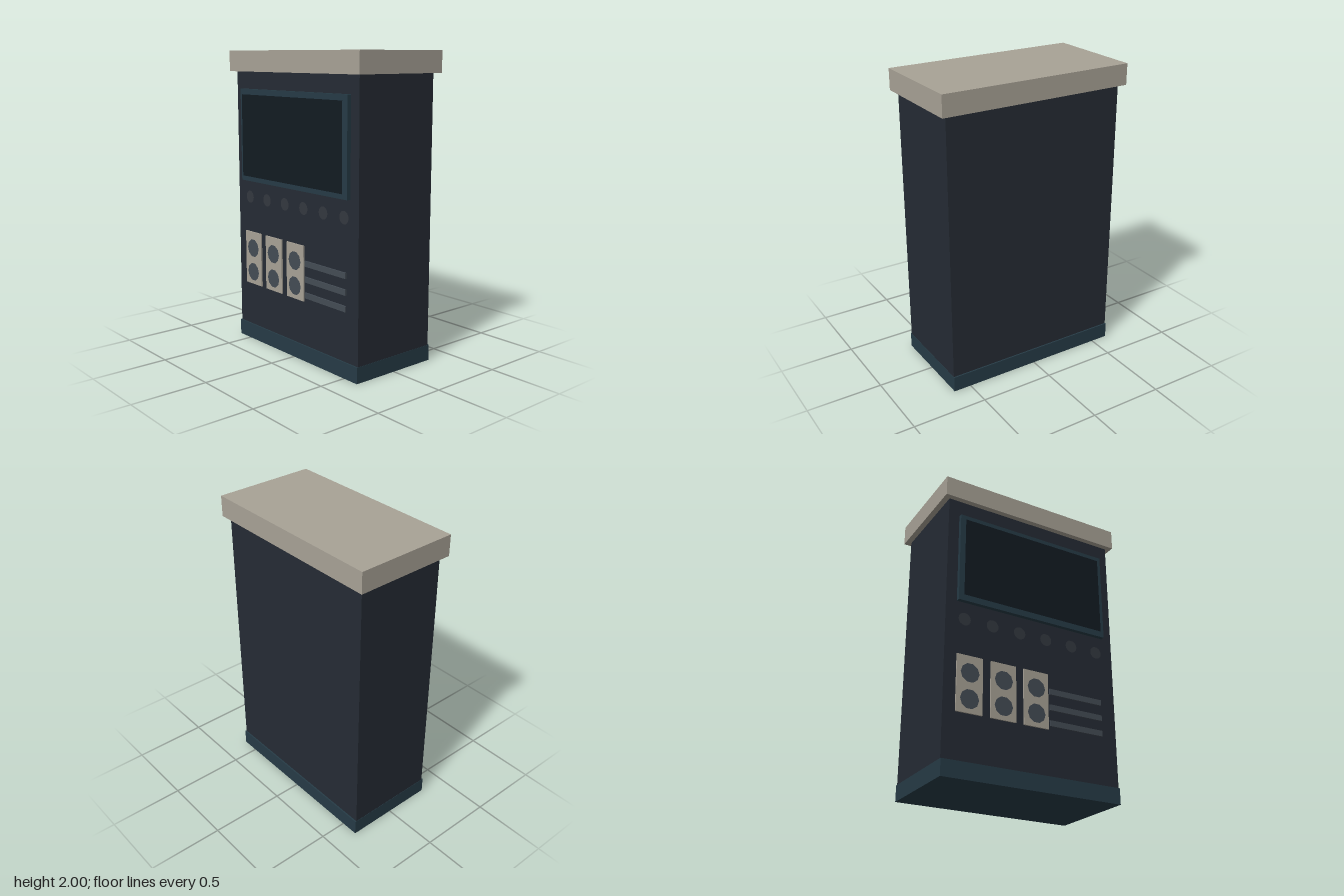
import * as THREE from 'three';

const material = (color) => new THREE.MeshStandardMaterial({ color, flatShading: true });

export function createModel() {
  const group = new THREE.Group();
  const cream = material(0xa8a296);
  const dark = material(0x252b34);
  const teal = material(0x263b46);
  const glass = material(0x121b22);
  const slate = material(0x444c55);
  const charcoal = material(0x33383f);
  const front = 0.305; // front face of the cabinet

  const add = (name, geometry, mat, x, y, z) => {
    const mesh = new THREE.Mesh(geometry, mat);
    mesh.name = name;
    mesh.position.set(x, y, z);
    group.add(mesh);
  };
  // Box given by its limits on each axis
  const box = (name, mat, [x0, x1], [y0, y1], [z0, z1]) =>
    add(name, new THREE.BoxGeometry(x1 - x0, y1 - y0, z1 - z0), mat,
      (x0 + x1) / 2, (y0 + y1) / 2, (z0 + z1) / 2);

  // Cabinet, plinth and overhanging top
  box('cabinet', dark, [-0.617, 0.617], [0.1, 1.87], [-0.309, front]);
  box('plinth', teal, [-0.619, 0.619], [0, 0.105], [-0.319, 0.315]);
  box('top', cream, [-0.655, 0.655], [1.862, 2], [-0.345, 0.341]);

  // Display: raised frame with a thin glass sheet in front
  box('screenFrame', teal, [-0.543, 0.543], [1.127, 1.747], [front - 0.01, 0.333]);
  add('screen', new THREE.PlaneGeometry(1.024, 0.55), glass, 0, 1.436, 0.345);

  // Row of flat buttons
  for (let i = 0; i < 6; i++) {
    add('button', new THREE.CircleGeometry(0.042, 16), charcoal, -0.487 + i * 0.1948, 1.012, front + 0.003);
  }

  // Pale panels with two dials each
  for (let i = 0; i < 3; i++) {
    const x = -0.447 + i * 0.231;
    box('dialPanel', cream, [x - 0.088, x + 0.088], [0.402, 0.77], [front - 0.01, 0.315]);
    for (const y of [0.49, 0.658]) {
      add('dial', new THREE.CircleGeometry(0.063, 10), slate, x, y, 0.318);
    }
  }

  // Horizontal vent bars
  for (let i = 0; i < 3; i++) {
    const y = 0.446 + i * 0.105;
    box('ventBar', slate, [0.116, 0.508], [y - 0.019, y + 0.019], [front - 0.01, 0.314]);
  }

  return group;
}
